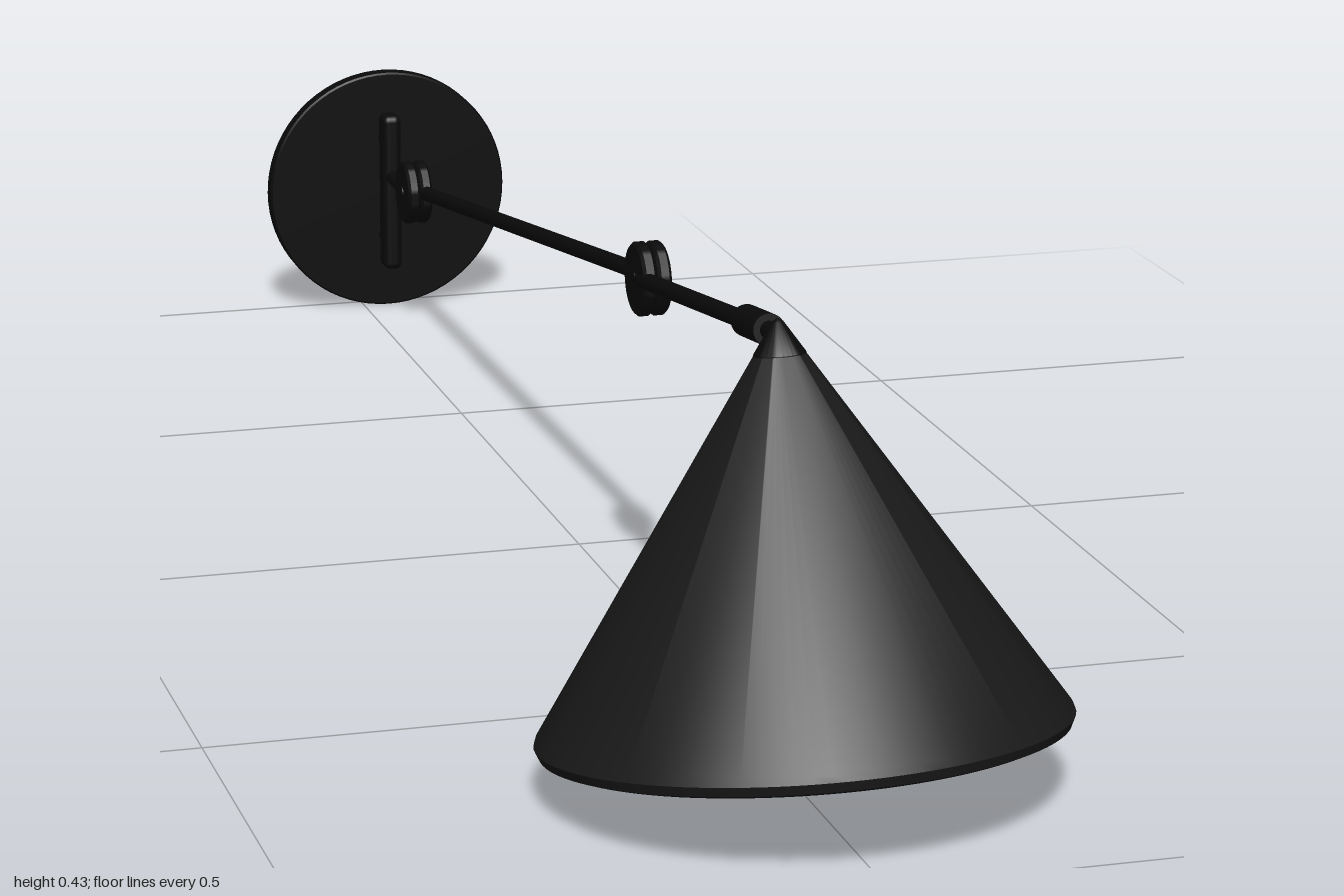
import * as THREE from 'three';
import { toCreasedNormals } from 'three/addons/utils/BufferGeometryUtils.js';
import { RoundedBoxGeometry } from 'three/addons/geometries/RoundedBoxGeometry.js';

const black = new THREE.MeshStandardMaterial({ color: 0x0a0a0a });
const shadeBlack = new THREE.MeshStandardMaterial({ color: 0x1a1a1a });
const lining = new THREE.MeshStandardMaterial({ color: 0xcccccc, side: THREE.DoubleSide });
const UP = new THREE.Vector3(0, 1, 0);
const V = (x, y, z) => new THREE.Vector3(x, y, z);

function add(parent, name, geometry, material = black, position = V(0, 0, 0)) {
  const mesh = new THREE.Mesh(geometry, material);
  mesh.name = name;
  mesh.position.copy(position);
  parent.add(mesh);
  return mesh;
}

// Straight round bar between two points
function rod(parent, name, a, b, radius, sides = 24) {
  const dir = b.clone().sub(a);
  const mesh = add(parent, name, new THREE.CylinderGeometry(radius, radius, dir.length(), sides),
    black, a.clone().add(b).multiplyScalar(0.5));
  mesh.quaternion.setFromUnitVectors(UP, dir.normalize());
  return mesh;
}

function lathe(points, sides = 72) {
  const g = new THREE.LatheGeometry(points.map(([r, y]) => new THREE.Vector2(r, y)), sides);
  return toCreasedNormals(g, 0.6);
}

// Pivot made of two discs lying side by side across x
function knuckle(parent, name, x, y, z) {
  const group = new THREE.Group();
  group.name = name;
  group.position.set(x, y, z);
  for (const side of [-1, 1]) {
    const disc = add(group, 'pivotDisc', lathe([
      [0, -0.007], [0.034, -0.007], [0.037, -0.004], [0.037, 0.004], [0.034, 0.007], [0, 0.007],
    ], 40), black, V(side * 0.0075, 0, 0));
    disc.rotation.z = Math.PI / 2;
  }
  rod(group, 'pivotPin', V(-0.016, 0, 0), V(0.016, 0, 0), 0.008);
  parent.add(group);
}

export function createModel() {
  const model = new THREE.Group();
  model.name = 'wallLamp';

  // Wall mount: round plate, upright bar on two spacers, short stem
  const plate = add(model, 'wallPlate', lathe([
    [0, -0.01], [0.144, -0.01], [0.144, 0.008], [0.142, 0.01], [0, 0.01],
  ]), black, V(0.03, 0.146, -0.99));
  plate.rotation.x = Math.PI / 2;
  add(model, 'mountBar', new RoundedBoxGeometry(0.022, 0.19, 0.032, 3, 0.008), black, V(0.028, 0.15, -0.957));
  for (const dy of [-0.06, 0.06])
    rod(model, 'mountSpacer', V(0.028, 0.15 + dy, -0.985), V(0.028, 0.15 + dy, -0.96), 0.009);
  rod(model, 'mountStem', V(0.028, 0.17, -0.95), V(0.028, 0.17, -0.865), 0.008);

  // Two arm sections meeting at an elbow
  knuckle(model, 'wallJoint', 0.035, 0.17, -0.865);
  knuckle(model, 'elbowJoint', 0.012, 0.342, 0.213);
  rod(model, 'rearArm', V(0.043, 0.17, -0.865), V(0.02, 0.342, 0.213), 0.0085);
  rod(model, 'frontArm', V(0.004, 0.342, 0.213), V(-0.01, 0.418, 0.7), 0.0085);
  rod(model, 'armSleeve', V(-0.007, 0.403, 0.6), V(-0.009, 0.414, 0.675), 0.015);

  // Conical shade, tilted towards the front
  const shade = new THREE.Group();
  shade.name = 'shade';
  shade.position.set(0, 0.055, 0.766);
  shade.quaternion.setFromUnitVectors(UP, V(-0.012, 0.375, -0.057).normalize());
  shade.scale.z = 0.967;
  add(shade, 'shadeShell', lathe([
    [0.212, 0.006], [0.213, 0], [0.233, 0], [0.241, 0.003], [0.245, 0.012], [0.243, 0.018], [0.02, 0.357],
  ], 96), shadeBlack);
  add(shade, 'shadeLining', new THREE.LatheGeometry(
    [new THREE.Vector2(0.212, 0.003), new THREE.Vector2(0.012, 0.335), new THREE.Vector2(0, 0.335)], 72), lining);
  add(shade, 'shadeCap', lathe([
    [0, 0.348], [0.024, 0.348], [0.024, 0.352], [0.005, 0.381], [0, 0.384],
  ], 32));

  // Bulb and its holder inside the shade
  add(shade, 'bulb', new THREE.SphereGeometry(0.08, 40, 24), black, V(0, 0.125, 0));
  add(shade, 'bulbHolder', new THREE.CylinderGeometry(0.02, 0.03, 0.14, 32), black, V(0, 0.255, 0));
  model.add(shade);

  return model;
}
